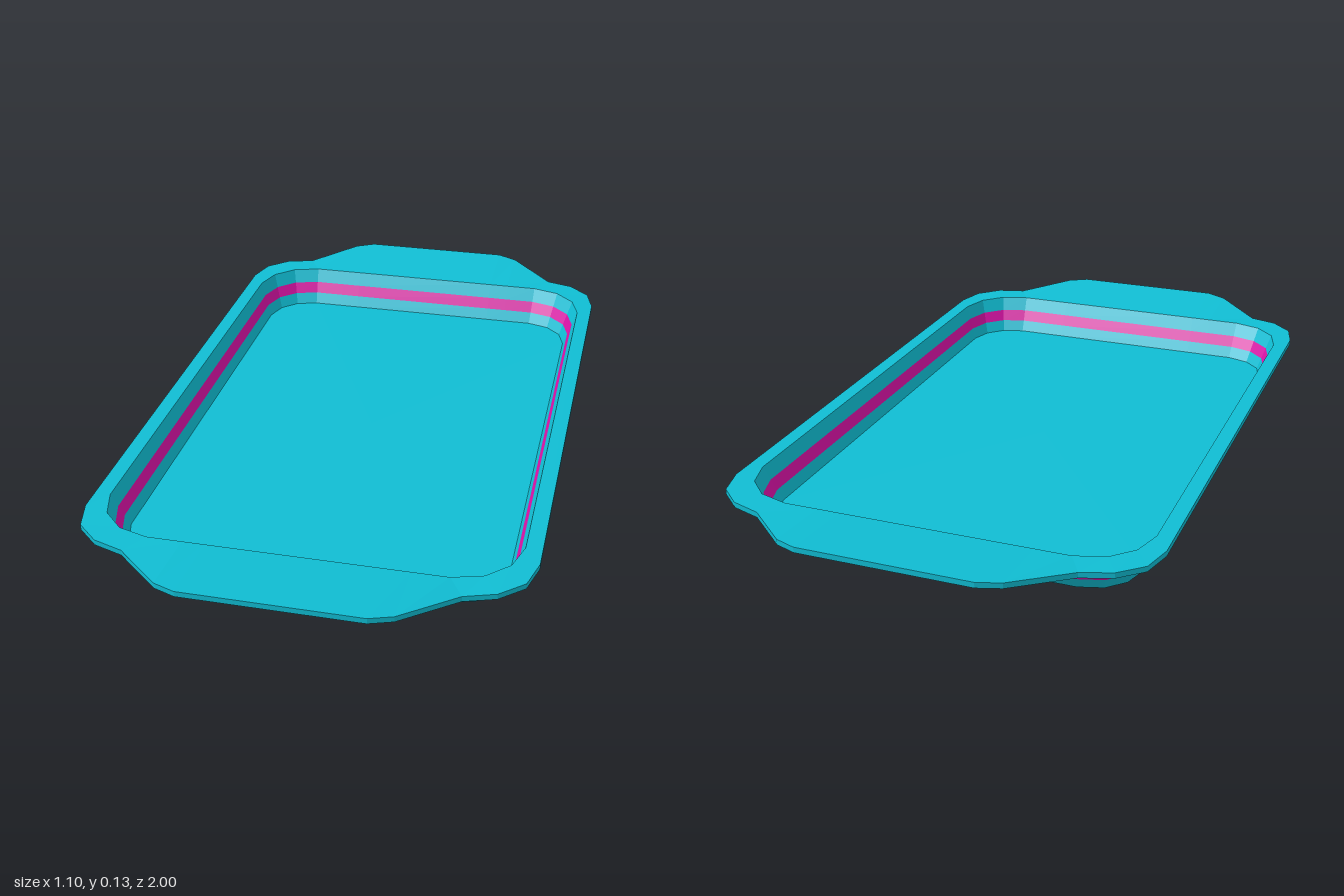
import * as THREE from 'three';

const T = 0.014; // sheet thickness

// Mirror one corner (running from the +x side to the +z side) into a full loop
function loopFrom(corner) {
  const loop = [];
  for (const [sx, sz] of [[1, 1], [-1, 1], [-1, -1], [1, -1]]) {
    const pts = corner.map(([x, y, z]) => new THREE.Vector3(x * sx, y, z * sz));
    loop.push(...(sx * sz > 0 ? pts : pts.reverse()));
  }
  return loop;
}

// Wall cross-section: t = 0 at the floor, 1 under the rim
function wallLoop(t, lift) {
  const hx = 0.472 + 0.036 * t, hz = 0.738 + 0.055 * t, y = 0.098 * t + lift;
  const r = 0.12 + 0.03 * t;
  return loopFrom([
    [hx, y, hz - r], [hx - r * 0.15, y, hz - r * 0.5], [hx - r * 0.5, y, hz - r * 0.15],
    [hx - r, y, hz], [0.27, y, hz], [0.215, y, hz],
  ]);
}

// Outer rim outline, rising at the end handles
function rimLoop(lift) {
  const y = 0.098 + lift;
  return loopFrom([
    [0.548, y, 0.70], [0.527, y, 0.78], [0.47, y + 0.001, 0.833],
    [0.395, y, 0.857], [0.27, y + 0.015, 0.977], [0.215, y + 0.018, 1.0],
  ]);
}

// Flat-shaded skin through a list of equal-length loops
function loft(loops) {
  const pos = [];
  const tri = (a, b, c) => pos.push(...a.toArray(), ...b.toArray(), ...c.toArray());
  for (let k = 0; k + 1 < loops.length; k++) {
    const a = loops[k], b = loops[k + 1], n = a.length;
    for (let i = 0; i < n; i++) {
      const j = (i + 1) % n;
      if (!a[i].equals(a[j])) tri(a[i], b[i], a[j]);
      if (!b[i].equals(b[j])) tri(a[j], b[i], b[j]);
    }
  }
  const g = new THREE.BufferGeometry();
  g.setAttribute('position', new THREE.Float32BufferAttribute(pos, 3));
  g.computeVertexNormals();
  return g;
}

export function createModel() {
  const group = new THREE.Group();
  group.name = 'bakingTray';
  const teal = new THREE.MeshStandardMaterial({ color: 0x10bdd3, flatShading: true });
  const magenta = new THREE.MeshStandardMaterial({ color: 0xd813a6, flatShading: true });
  const add = (name, material, ...loops) => {
    const mesh = new THREE.Mesh(loft(loops), material);
    mesh.name = name;
    group.add(mesh);
  };
  const centre = (y) => wallLoop(0, 0).map(() => new THREE.Vector3(0, y, 0));
  const lo = 0.31, hi = 0.62; // stripe limits on the wall

  // Outside, from the underside up to the rim
  add('base', teal, centre(0), wallLoop(0, 0));
  add('outerWallLower', teal, wallLoop(0, 0), wallLoop(lo, 0));
  add('outerStripe', magenta, wallLoop(lo, 0), wallLoop(hi, 0));
  add('outerWallUpper', teal, wallLoop(hi, 0), wallLoop(1, 0));

  // Rim with the two end handles
  add('rimAndHandles', teal, wallLoop(1, 0), rimLoop(0), rimLoop(T), wallLoop(1, T));

  // Inside, from the rim down to the floor
  add('innerWallUpper', teal, wallLoop(1, T), wallLoop(hi, T));
  add('innerStripe', magenta, wallLoop(hi, T), wallLoop(lo, T));
  add('innerWallLower', teal, wallLoop(lo, T), wallLoop(0, T));
  add('floor', teal, wallLoop(0, T), centre(T));
  return group;
}
